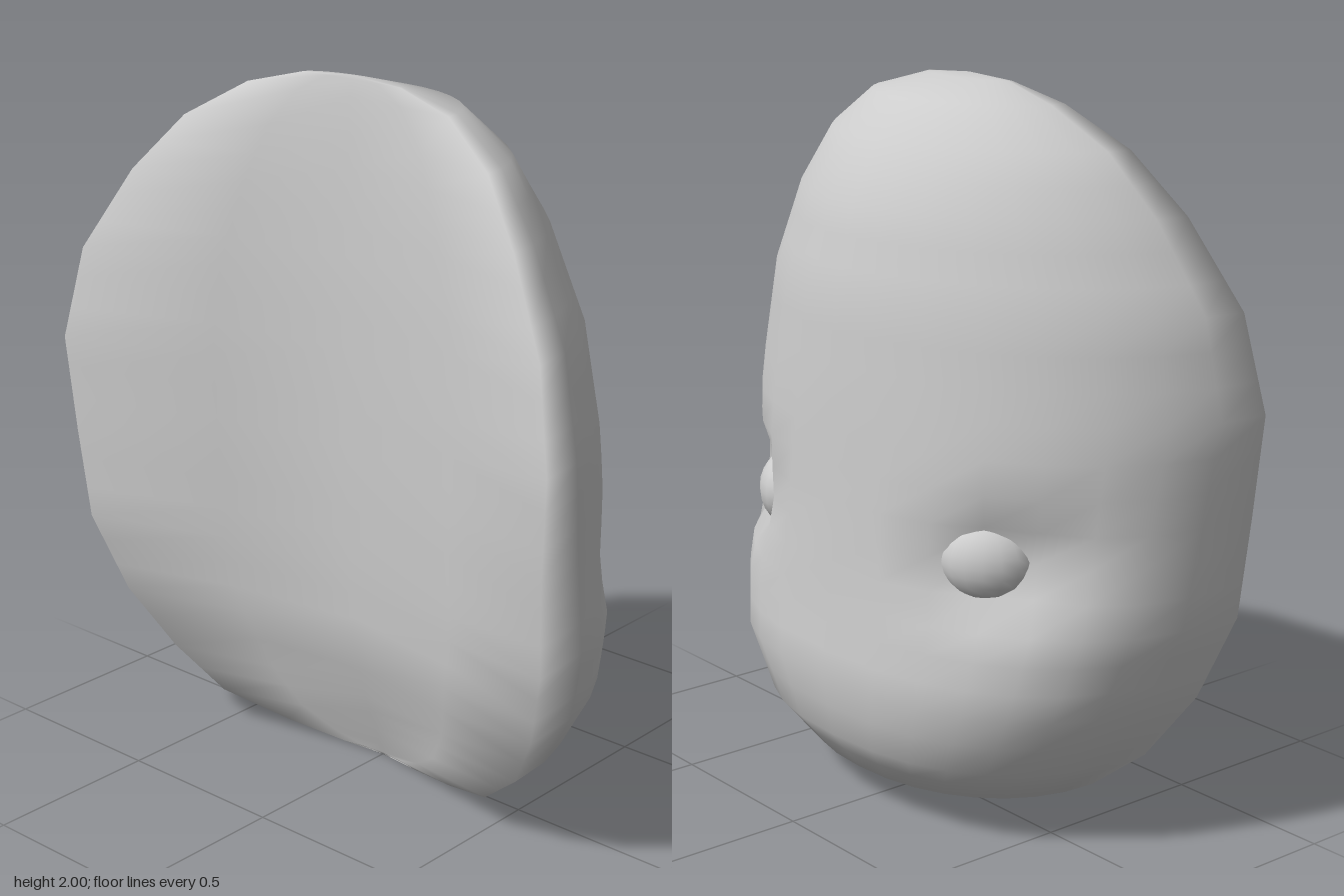
import * as THREE from 'three';
import { mergeVertices } from 'three/addons/utils/BufferGeometryUtils.js';

// Horizontal slices: height, half width, rim z, outer centre z, inner centre z, squareness of the outside
const SLICES = [
  [2, 0, 0.12, 0.12, 0.12, 1.85], [1.99, 0.17, 0.125, 0.07, 0.12, 1.85], [1.945, 0.35, 0.15, -0.1, 0.13, 1.85],
  [1.84, 0.53, 0.215, -0.195, 0.135, 1.85], [1.68, 0.67, 0.285, -0.28, 0.14, 1.85],
  [1.445, 0.81, 0.355, -0.335, 0.145, 1.88], [1.18, 0.865, 0.39, -0.352, 0.145, 1.98],
  [0.9, 0.845, 0.375, -0.362, 0.145, 2.22], [0.63, 0.83, 0.35, -0.376, 0.14, 2.42],
  [0.4, 0.755, 0.285, -0.395, 0.13, 2.5], [0.22, 0.645, 0.205, -0.36, 0.08, 2.35], [0.1, 0.5, 0.15, -0.27, 0.035, 2.2],
  [0.035, 0.31, 0.07, -0.1, 0.012, 2.2], [0.005, 0.13, 0.02, -0.015, 0, 2.2], [0, 0, 0, 0, 0, 2.2],
];
const EYE = new THREE.Vector3(0.437, 0.797, -0.175);
const SHELL_COLS = 16, INNER_COLS = 4;

// Extra slices between the tall ones
function subdivide(rows) {
  const out = [];
  rows.forEach((row, i) => {
    out.push(row);
    const next = rows[i + 1];
    if (!next) return;
    const steps = Math.max(1, Math.round((row[0] - next[0]) / 0.08));
    for (let k = 1; k < steps; k++) out.push(row.map((v, n) => THREE.MathUtils.lerp(v, next[n], k / steps)));
  });
  return out;
}

// Domed outside: round at the forehead, squarer at the cheeks, pressed in around the eyes
function shellPoint([y, w, rim, centre, , power], t) {
  const a = t * Math.PI, c = Math.cos(a), p = 2 / power;
  let x = w * Math.sign(c) * Math.abs(c) ** p;
  let z = rim + (centre - rim) * Math.max(0, Math.sin(a)) ** p;
  const d2 = ((Math.abs(x) - 0.54) / 0.17) ** 2 + ((y - EYE.y) / 0.13) ** 2 + ((z + 0.22) / 0.17) ** 2;
  const dent = 0.105 * Math.exp(-d2);
  x -= Math.sign(x) * dent * 0.7;
  z += dent * 0.7;
  return [x, y, z];
}

// Gently hollow inside
function innerPoint([y, w, rim, , middle], t) {
  const u = 2 * t - 1;
  return [w * u, y, middle + (rim - middle) * Math.abs(u) ** 1.6];
}

// Closed loop per slice, outside then inside, joined smoothly over the rim
function maskGeometry(rows) {
  const positions = [], index = [], n = SHELL_COLS + INNER_COLS;
  rows.forEach((row, i) => {
    for (let j = 0; j < n; j++) {
      const p = j < SHELL_COLS ? shellPoint(row, j / SHELL_COLS) : innerPoint(row, (j - SHELL_COLS) / INNER_COLS);
      positions.push(...p);
      if (i < rows.length - 1) {
        const a = i * n + j, a2 = i * n + (j + 1) % n, b = a + n, b2 = a2 + n;
        index.push(a, b, a2, a2, b, b2);
      }
    }
  });
  const g = new THREE.BufferGeometry();
  g.setAttribute('position', new THREE.Float32BufferAttribute(positions, 3));
  g.setIndex(index);
  const merged = mergeVertices(g, 1e-5);
  merged.computeVertexNormals();
  return merged;
}

export function createModel() {
  const model = new THREE.Group();
  model.name = 'mask';
  const grey = new THREE.MeshStandardMaterial({ color: 0xcccccc });
  grey.name = 'light grey';
  const add = (geometry, name) => {
    const mesh = new THREE.Mesh(geometry, grey);
    mesh.name = name;
    model.add(mesh);
    return mesh;
  };

  add(maskGeometry(subdivide(SLICES)), 'maskBody');

  // Oval eyes turned to follow the shell
  for (const side of [1, -1]) {
    const eye = add(new THREE.SphereGeometry(1, 16, 12), side > 0 ? 'leftEye' : 'rightEye');
    eye.scale.set(0.128, 0.108, 0.09);
    eye.position.set(side * EYE.x, EYE.y, EYE.z);
    eye.rotation.y = -side * 0.7;
  }
  return model;
}
